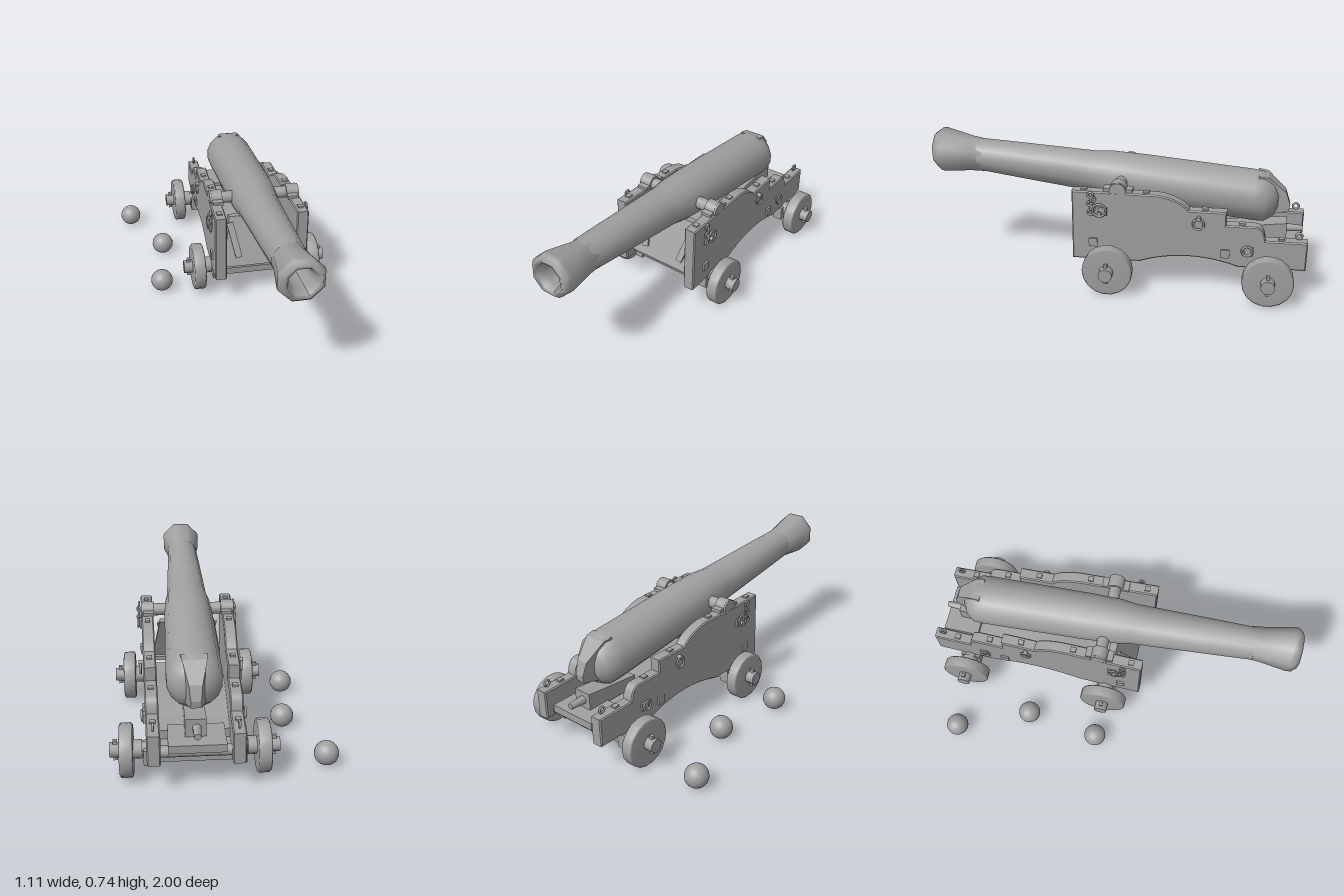
import * as THREE from 'three';

const iron = new THREE.MeshStandardMaterial({ color: 0xa0a0a0 });
iron.name = 'stone grey';

const CX = 0.147; // centre line of gun and carriage

export function createModel() {
  const root = new THREE.Group();
  const add = (name, geo, x = 0, y = 0, z = 0) => {
    const m = new THREE.Mesh(geo, iron);
    m.name = name;
    m.position.set(x, y, z);
    root.add(m);
    return m;
  };
  const box = (name, w, h, d, x, y, z) => add(name, new THREE.BoxGeometry(w, h, d), x, y, z);
  const rod = (name, r, len, x, y, z, n = 12) =>
    add(name, new THREE.CylinderGeometry(r, r, len, n).rotateZ(Math.PI / 2), x, y, z);
  const vec = (pts) => pts.map(([a, b]) => new THREE.Vector2(a, b));
  // Move every vertex's x by a rule
  const moveX = (geo, rule) => {
    const p = geo.attributes.position;
    for (let i = 0; i < p.count; i++) p.setX(i, rule(p.getX(i), p.getY(i), p.getZ(i)));
    return geo;
  };
  // Side-profile (z, y) solid, centred on x
  const slab = (shape, width, bevel = 0) => new THREE.ExtrudeGeometry(shape, {
    depth: width - 2 * bevel, bevelEnabled: bevel > 0, bevelSize: bevel, bevelThickness: bevel,
    bevelOffset: -bevel, bevelSegments: 1, curveSegments: 10,
  }).rotateY(-Math.PI / 2).translate(width / 2 - bevel, 0, 0);

  // Barrel parts turned along +z, following the raised axis
  const axisY = (z) => 0.537 + 0.098 * z;
  const turned = (pts, n) => {
    const g = new THREE.LatheGeometry(vec(pts), n, Math.PI / n).rotateX(Math.PI / 2);
    const p = g.attributes.position;
    for (let i = 0; i < p.count; i++) p.setY(i, p.getY(i) + axisY(p.getZ(i)));
    g.computeVertexNormals();
    return g;
  };
  add('barrel', turned([
    [0, -0.85], [0.055, -0.845], [0.1, -0.82], [0.132, -0.775], [0.136, -0.72],
    [0.133, -0.4], [0.13, -0.15], [0.124, 0.02], [0.111, 0.11], [0.108, 0.2], [0.098, 0.5], [0.088, 0.76],
  ], 16), CX - 0.003, 0, 0);
  // Flared muzzle, continuing inwards as the bore
  add('muzzle', turned([
    [0.088, 0.73], [0.094, 0.8], [0.119, 0.945], [0.116, 0.97], [0.095, 0.995],
    [0.075, 0.985], [0.062, 0.94], [0.05, 0.62], [0, 0.62],
  ], 8), CX, 0, 0);
  // Narrow tail fin at the breech
  const tail = new THREE.Shape(vec([[-0.74, 0.592], [-0.79, 0.585], [-0.845, 0.535], [-0.885, 0.5],
    [-0.91, 0.43], [-0.905, 0.395], [-0.83, 0.385], [-0.74, 0.385]]));
  add('breechTail', moveX(slab(tail, 0.13), (x, y, z) => x * (1 + 4.5 * Math.min(0, z + 0.77))), CX - 0.003);
  rod('trunnions', 0.033, 0.46, CX, 0.541, -0.035, 14);

  // Stepped cheeks with an arched underside, closing in towards the rear
  const s = new THREE.Shape();
  s.moveTo(0.2, 0.155);
  s.lineTo(0.2, 0.535);
  s.lineTo(-0.24, 0.53);
  s.quadraticCurveTo(-0.35, 0.515, -0.4, 0.455);
  s.lineTo(-0.59, 0.455);
  s.lineTo(-0.59, 0.385);
  s.lineTo(-0.74, 0.385);
  s.quadraticCurveTo(-0.78, 0.38, -0.79, 0.31);
  s.lineTo(-1, 0.31);
  s.lineTo(-1, 0.155);
  s.lineTo(-0.66, 0.155);
  s.quadraticCurveTo(-0.4, 0.245, -0.15, 0.155);
  const cap = new THREE.Shape();
  cap.moveTo(0.075, 0.53);
  cap.lineTo(0.075, 0.548);
  cap.lineTo(0.04, 0.55);
  cap.absarc(0, 0.541, 0.044, 0.2, Math.PI - 0.2, false);
  cap.lineTo(-0.075, 0.548);
  cap.lineTo(-0.075, 0.53);
  for (const side of [-1, 1]) {
    const cx = CX + side * 0.224;
    const taper = (z) => side * 0.024 * (z - 0.2);
    add(side < 0 ? 'rightCheek' : 'leftCheek', moveX(slab(s, 0.064, 0.006), (x, y, z) => x + taper(z)), cx);

    // Strap over the trunnion
    add('trunnionCap', slab(cap, 0.058), CX + side * 0.21, 0, -0.035);
    rod('trunnionEnd', 0.043, 0.012, CX + side * 0.244, 0.541, -0.035, 14);

    // Bolt plates, ring bolts and hanging links on the outer face
    const out = cx + side * 0.035;
    for (const [z, y] of [[0.09, 0.255], [0.04, 0.43], [-0.59, 0.23], [-0.71, 0.25]])
      box('boltPlate', 0.014, 0.045, 0.045, out + taper(z), y, z);
    const ring = (r, z, y, dx = 0.01) =>
      add('ring', new THREE.TorusGeometry(r, 0.006, 6, 14).rotateY(Math.PI / 2), out + taper(z) + side * dx, y, z);
    ring(0.028, -0.45, 0.39);
    ring(0.034, 0.055, 0.44, 0.014);
    ring(0.026, -0.7, 0.255, 0.012);
    for (const z of [-0.45, 0.055]) rod('ringBolt', 0.012, 0.04, out + taper(z), 0.42, z, 8);
    for (let i = 0; i < 5; i++) {
      const link = ring(0.014, 0.1 - 0.012 * (i % 2), 0.52 - i * 0.024, 0.008);
      link.rotation.y = (i % 2) * 0.8;
    }
    // Eye bolt and studs along the top edges
    add('eyeBolt', new THREE.TorusGeometry(0.016, 0.006, 6, 12).rotateY(Math.PI / 2),
      cx + taper(-0.955), 0.335, -0.955);
    for (const [z, y] of [[0.14, 0.535], [-0.18, 0.533], [-0.48, 0.457], [-0.67, 0.387], [-0.87, 0.312]])
      box('stud', 0.028, 0.014, 0.03, cx + taper(z), y, z);
  }

  // Axles, wheels and linch pins
  const rim = vec([[0.034, -0.032], [0.122, -0.032], [0.13, -0.025], [0.13, 0.025], [0.122, 0.032], [0.034, 0.032]]);
  for (const z of [0.005, -0.81]) {
    box('axleBeam', 0.46, 0.085, 0.1, CX, 0.133, z);
    rod('axle', 0.036, 0.81, CX, 0.137, z);
    for (const side of [-1, 1]) {
      add('wheel', new THREE.LatheGeometry(rim, 18).rotateZ(Math.PI / 2), CX + side * 0.325, 0.133, z);
      rod('hub', 0.045, 0.05, CX + side * 0.275, 0.137, z);
      box('linchPin', 0.02, 0.105, 0.018, CX + side * 0.378, 0.137, z);
      box('axleBracket', 0.05, 0.08, 0.11, CX + side * 0.22, 0.115, z);
    }
  }

  // Bed between the cheeks, arched like their underside
  const bed = new THREE.Shape();
  bed.moveTo(0, 0.18);
  bed.lineTo(0, 0.205);
  bed.lineTo(-0.15, 0.215);
  bed.quadraticCurveTo(-0.4, 0.27, -0.66, 0.225);
  bed.lineTo(-0.8, 0.225);
  bed.lineTo(-0.8, 0.18);
  bed.lineTo(-0.66, 0.18);
  bed.quadraticCurveTo(-0.4, 0.24, -0.15, 0.18);
  add('bed', slab(bed, 0.36), CX);
  box('frontSill', 0.39, 0.022, 0.06, CX, 0.194, 0.11);
  box('rearBed', 0.27, 0.04, 0.2, CX - 0.005, 0.225, -0.88);
  rod('rearTransom', 0.028, 0.37, CX, 0.19, -0.93);

  // Sloping front board with two battens
  const board = new THREE.Shape(vec([[0.15, 0.2], [0.11, 0.2], [0.0, 0.45], [0.04, 0.455]]));
  add('frontBoard', moveX(slab(board, 0.39), (x, y) => x * (1 - 0.9 * (y - 0.2))), CX);
  for (const side of [-1, 1]) {
    const batten = box('batten', 0.036, 0.2, 0.014, CX + side * 0.131, 0.337, 0.095);
    batten.rotation.set(-0.41, 0, -side * 0.19);
  }

  // Elevating wedge under the breech, with its handle
  const wedge = new THREE.Shape(vec([[-0.58, 0.235], [-0.58, 0.3], [-0.78, 0.32], [-0.9, 0.335], [-0.9, 0.235]]));
  add('wedge', slab(wedge, 0.1), CX);
  add('wedgeHandle', new THREE.CylinderGeometry(0.016, 0.022, 0.09, 10).rotateX(-Math.PI / 2), CX - 0.005, 0.29, -0.94);

  // Shot lying beside the carriage
  for (const [x, z] of [[-0.494, -0.79], [-0.333, -0.4], [-0.385, 0.002]])
    add('shot', new THREE.SphereGeometry(0.061, 20, 14), x, 0.063, z);

  return root;
}
